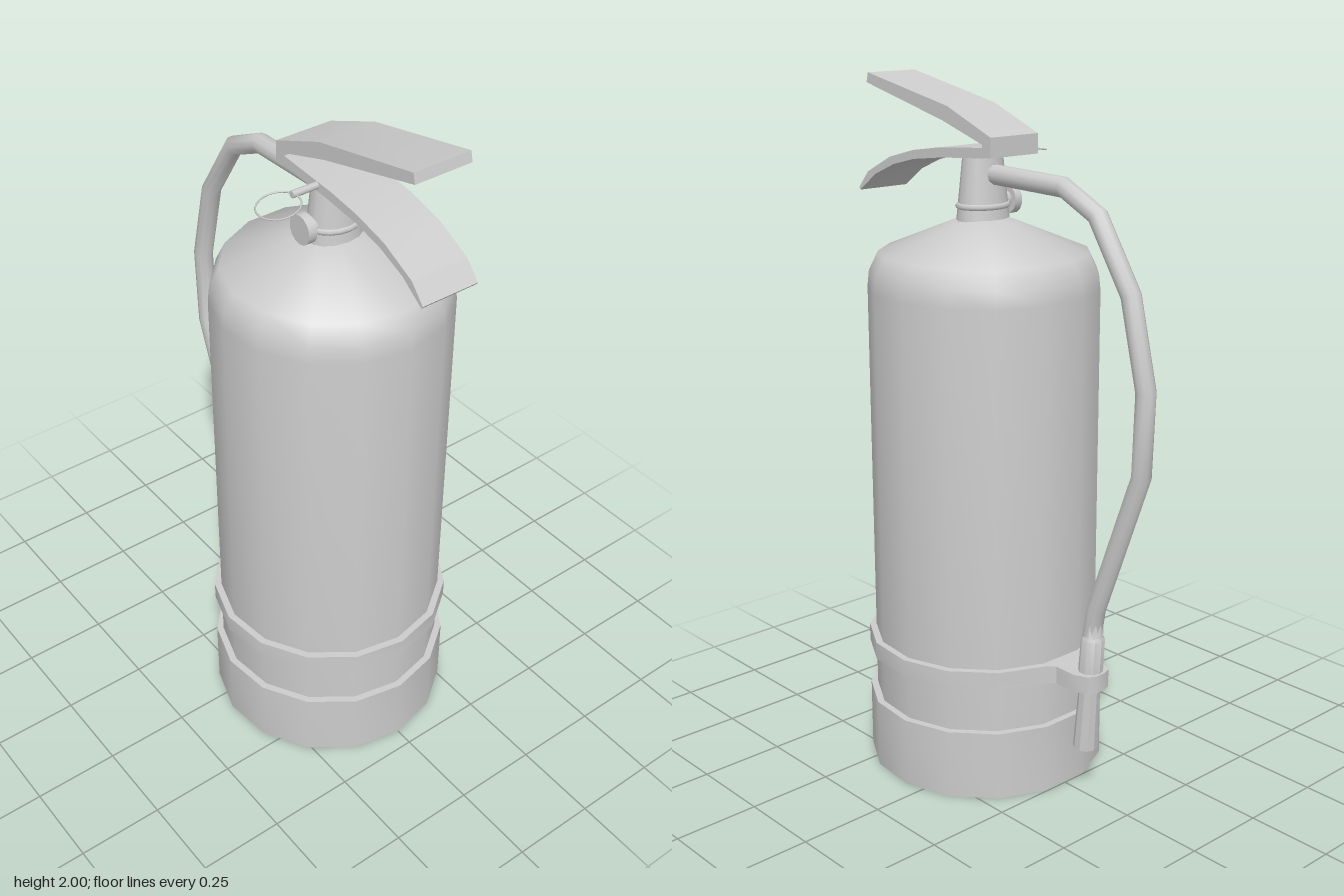
import * as THREE from 'three';
import { toCreasedNormals } from 'three/addons/utils/BufferGeometryUtils.js';

const CX = 0.095; // tank axis
const SIDES = 15;
const material = new THREE.MeshStandardMaterial({ color: 0xcccccc });

function part(name, geometry, x = 0, y = 0, z = 0) {
  const mesh = new THREE.Mesh(geometry, material);
  mesh.name = name;
  mesh.position.set(x, y, z);
  return mesh;
}

const vectors = (list) => list.map(([x, y]) => new THREE.Vector2(x, y));

// Revolved part with a corner on +x; sharp profile corners stay sharp
function lathe(profile, sides, crease = 0.6) {
  const geometry = new THREE.LatheGeometry(vectors(profile), sides, Math.PI / 2);
  return toCreasedNormals(geometry, crease);
}

function ringPoints(radius) {
  return Array.from({ length: SIDES }, (_, i) => {
    const a = (i / SIDES) * Math.PI * 2;
    return [CX + radius * Math.cos(a), radius * Math.sin(a)];
  });
}

// Side profile extruded across the width of the handle
function leverGeometry(profile) {
  const geometry = new THREE.ExtrudeGeometry(new THREE.Shape(vectors(profile)), {
    depth: 0.173, bevelEnabled: false,
  });
  geometry.translate(0, 0, -0.085);
  return toCreasedNormals(geometry, 0.4);
}

// Straight runs between the given points, sampled point by point
class Polyline extends THREE.Curve {
  constructor(points) {
    super();
    this.points = points.map(([x, y]) => new THREE.Vector3(x, y, 0));
  }
  getPoint(t, target = new THREE.Vector3()) {
    const n = this.points.length - 1;
    const i = Math.min(Math.floor(t * n), n - 1);
    return target.lerpVectors(this.points[i], this.points[i + 1], t * n - i);
  }
  getUtoTmapping(u) {
    return u;
  }
}

export function createModel() {
  const model = new THREE.Group();
  model.name = 'fireExtinguisher';

  // Tank with rounded shoulder, and the wider foot
  model.add(part('tank', lathe([
    [0.33, 0.15], [0.33, 1.43], [0.325, 1.475], [0.298, 1.53], [0.07, 1.622], [0, 1.622],
  ], SIDES, 1.0), CX));
  model.add(part('foot', lathe([
    [0, 0], [0.35, 0], [0.35, 0.205], [0.32, 0.205],
  ], SIDES), CX));

  // Clamp band with a tab that holds the nozzle
  const right = ringPoints(0.35);
  const tab = [[-0.268, 0.057], [-0.34, 0.057], [-0.378, 0.04], [-0.388, 0.015],
    [-0.388, -0.015], [-0.378, -0.04], [-0.34, -0.057], [-0.268, -0.057]];
  const outline = [...right.slice(0, 8), ...tab, ...right.slice(8)];
  const bandShape = new THREE.Shape(vectors(outline));
  bandShape.holes.push(new THREE.Path(vectors(ringPoints(0.325).reverse())));
  const band = new THREE.ExtrudeGeometry(bandShape, { depth: 0.052, bevelEnabled: false });
  band.rotateX(-Math.PI / 2);
  model.add(part('clampBand', toCreasedNormals(band, 0.5), 0, 0.344, 0));

  // Valve neck and collar, a little deeper than wide
  const neck = part('valveNeck', lathe([
    [0.068, 1.6], [0.064, 1.64], [0.05, 1.795], [0, 1.795],
  ], 14), 0.1);
  const collar = part('neckCollar', new THREE.TorusGeometry(0.06, 0.009, 6, 18).rotateX(Math.PI / 2), 0.1, 1.658, 0);
  neck.scale.z = collar.scale.z = 1.22;
  model.add(neck, collar);

  // Pressure gauge on the front of the neck
  const gauge = new THREE.CylinderGeometry(0.042, 0.042, 0.025, 14).rotateX(Math.PI / 2);
  model.add(part('gauge', gauge, 0.1, 1.665, 0.098));
  const stem = new THREE.CylinderGeometry(0.025, 0.025, 0.06, 10).rotateX(Math.PI / 2);
  model.add(part('gaugeStem', stem, 0.1, 1.665, 0.065));

  // Handle: straight squeeze lever and curved carrying grip
  model.add(part('upperLever', leverGeometry([
    [-0.027, 1.82], [0.005, 1.82], [0.008, 1.836], [0.17, 1.888], [0.505, 1.972],
    [0.498, 2.0], [0.15, 1.928], [-0.027, 1.857],
  ])));
  model.add(part('lowerGrip', leverGeometry([
    [-0.027, 1.802], [0.177, 1.787], [0.3, 1.772], [0.39, 1.749], [0.475, 1.713], [0.548, 1.66],
    [0.553, 1.667], [0.51, 1.717], [0.405, 1.769], [0.3, 1.797], [0.2, 1.812],
    [0.005, 1.828], [-0.027, 1.828],
  ])));

  // Safety pin and its pull ring
  const pin = new THREE.CylinderGeometry(0.01, 0.01, 0.13, 8).rotateX(Math.PI / 2);
  model.add(part('safetyPin', pin, 0.142, 1.806, 0.1));
  const pullRing = new THREE.TorusGeometry(0.057, 0.0025, 5, 24).rotateX(Math.PI / 2 + 0.16);
  model.add(part('pullRing', pullRing, 0.15, 1.795, 0.211));

  // Hose from the neck down to the nozzle
  const path = new Polyline([
    [0.09, 1.745], [0.03, 1.745], [-0.22, 1.738], [-0.345, 1.677], [-0.468, 1.487],
    [-0.528, 1.243], [-0.52, 1.01], [-0.364, 0.585], [-0.35, 0.5],
  ]);
  model.add(part('hose', new THREE.TubeGeometry(path, 8, 0.028, 10)));

  // Nozzle with a sleeve above the clamp, leaning towards the foot
  const nozzle = part('nozzle', lathe([
    [0, 0], [0.035, 0], [0.03, 0.2], [0.036, 0.2], [0.034, 0.345], [0.028, 0.355], [0.026, 0.42], [0, 0.42],
  ], 10), -0.33, 0.152, 0);
  nozzle.rotation.z = 0.07;
  model.add(nozzle);

  return model;
}
